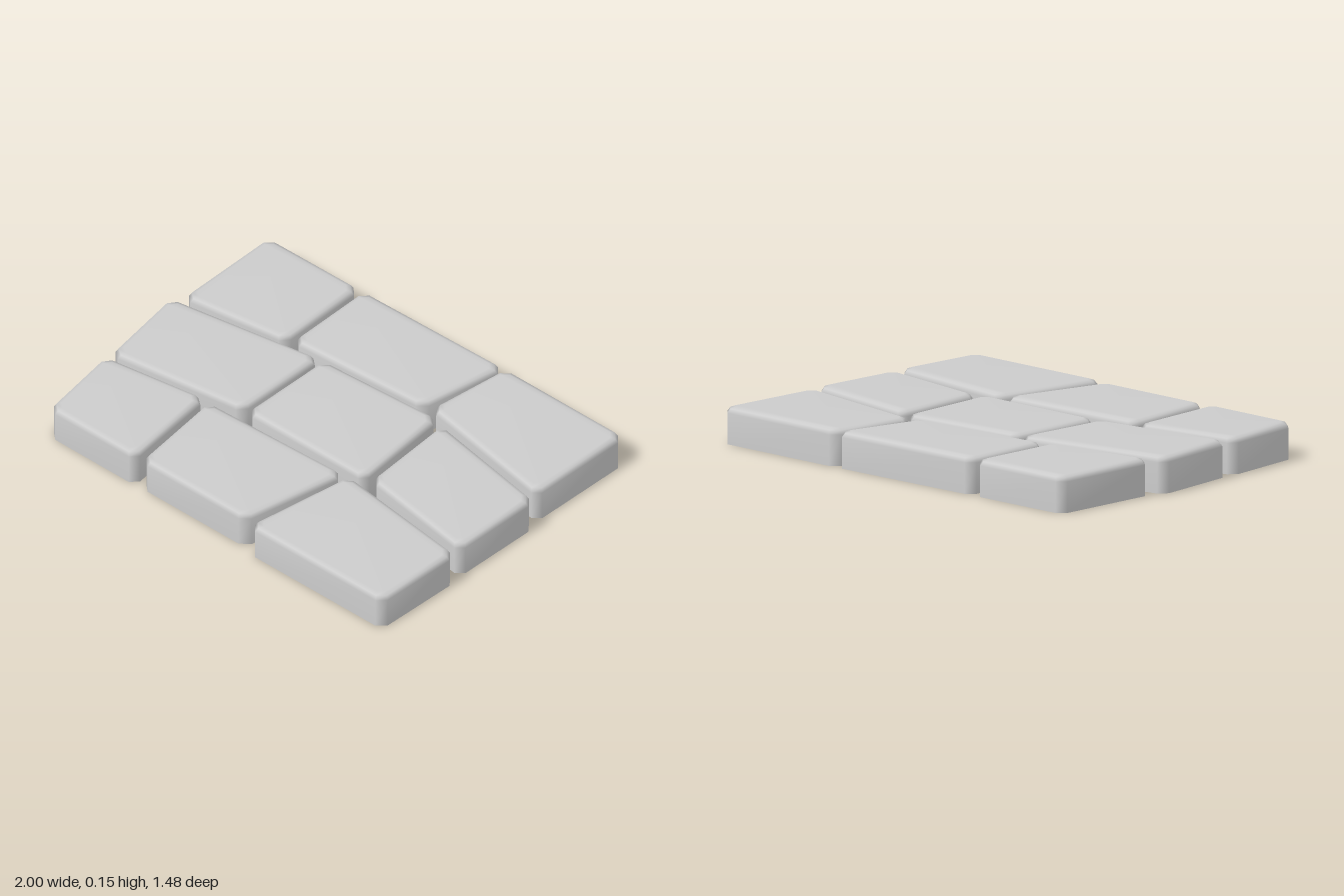
import * as THREE from 'three';

// Plan corners of each stone as [x, z], starting back right, going round
const STONES = {
  backRightStone: [[-0.98, -0.735], [-0.475, -0.735], [-0.465, -0.275], [-0.97, -0.21]],
  backMiddleStone: [[-0.455, -0.735], [0.315, -0.745], [0.24, -0.33], [-0.445, -0.295]],
  backLeftStone: [[0.32, -0.745], [0.98, -0.74], [0.975, -0.215], [0.275, -0.345]],
  middleRightStone: [[-1.005, -0.17], [-0.28, -0.285], [-0.285, 0.18], [-0.935, 0.265]],
  centreStone: [[-0.265, -0.285], [0.345, -0.315], [0.39, 0.185], [-0.265, 0.18]],
  middleLeftStone: [[0.38, -0.295], [0.995, -0.18], [0.99, 0.265], [0.415, 0.17]],
  frontRightStone: [[-0.94, 0.295], [-0.45, 0.225], [-0.395, 0.71], [-0.875, 0.705]],
  frontMiddleStone: [[-0.425, 0.235], [0.31, 0.215], [0.21, 0.71], [-0.365, 0.705]],
  frontLeftStone: [[0.33, 0.21], [1.0, 0.3], [0.99, 0.735], [0.25, 0.73]],
};

// Height, inset and corner cut of each ring, from the open base to the top
const RINGS = [[0, 0, 0.035], [0.13, 0, 0.035], [0.147, 0.01, 0.032], [0.154, 0.028, 0.025]];

// Quad moved inwards, with each corner cut into two points
function outline(quad, inset, cut) {
  const pts = quad.map(([x, z]) => new THREE.Vector2(x, z));
  return pts.flatMap((p, i) => {
    const toNext = pts[(i + 1) % 4].clone().sub(p).normalize();
    const toPrev = pts[(i + 3) % 4].clone().sub(p).normalize();
    const c = p.clone().addScaledVector(toNext.clone().add(toPrev), inset / Math.abs(toNext.cross(toPrev)));
    return [c.clone().addScaledVector(toPrev, cut), c.clone().addScaledVector(toNext, cut)];
  });
}

// Hollow stone: walls and bevel lofted through the rings, closed on top
function stoneGeometry(quad) {
  const positions = [], index = [], n = 8;
  for (const [y, inset, cut] of RINGS) {
    for (const p of outline(quad, inset, cut)) positions.push(p.x, y, p.y);
  }
  for (let r = 0; r < RINGS.length - 1; r++) {
    for (let i = 0; i < n; i++) {
      const a = r * n + i, b = r * n + (i + 1) % n;
      index.push(a, a + n, b, b, a + n, b + n);
    }
  }
  const top = (RINGS.length - 1) * n;
  for (let i = 1; i < n - 1; i++) index.push(top, top + i + 1, top + i);
  const geometry = new THREE.BufferGeometry();
  geometry.setAttribute('position', new THREE.Float32BufferAttribute(positions, 3));
  geometry.setIndex(index);
  geometry.computeVertexNormals();
  return geometry;
}

export function createModel() {
  const group = new THREE.Group();
  group.name = 'pavingStones';
  const material = new THREE.MeshStandardMaterial({ color: 0xcccccc, side: THREE.DoubleSide });
  for (const [name, quad] of Object.entries(STONES)) {
    const stone = new THREE.Mesh(stoneGeometry(quad), material);
    stone.name = name;
    group.add(stone);
  }
  return group;
}
